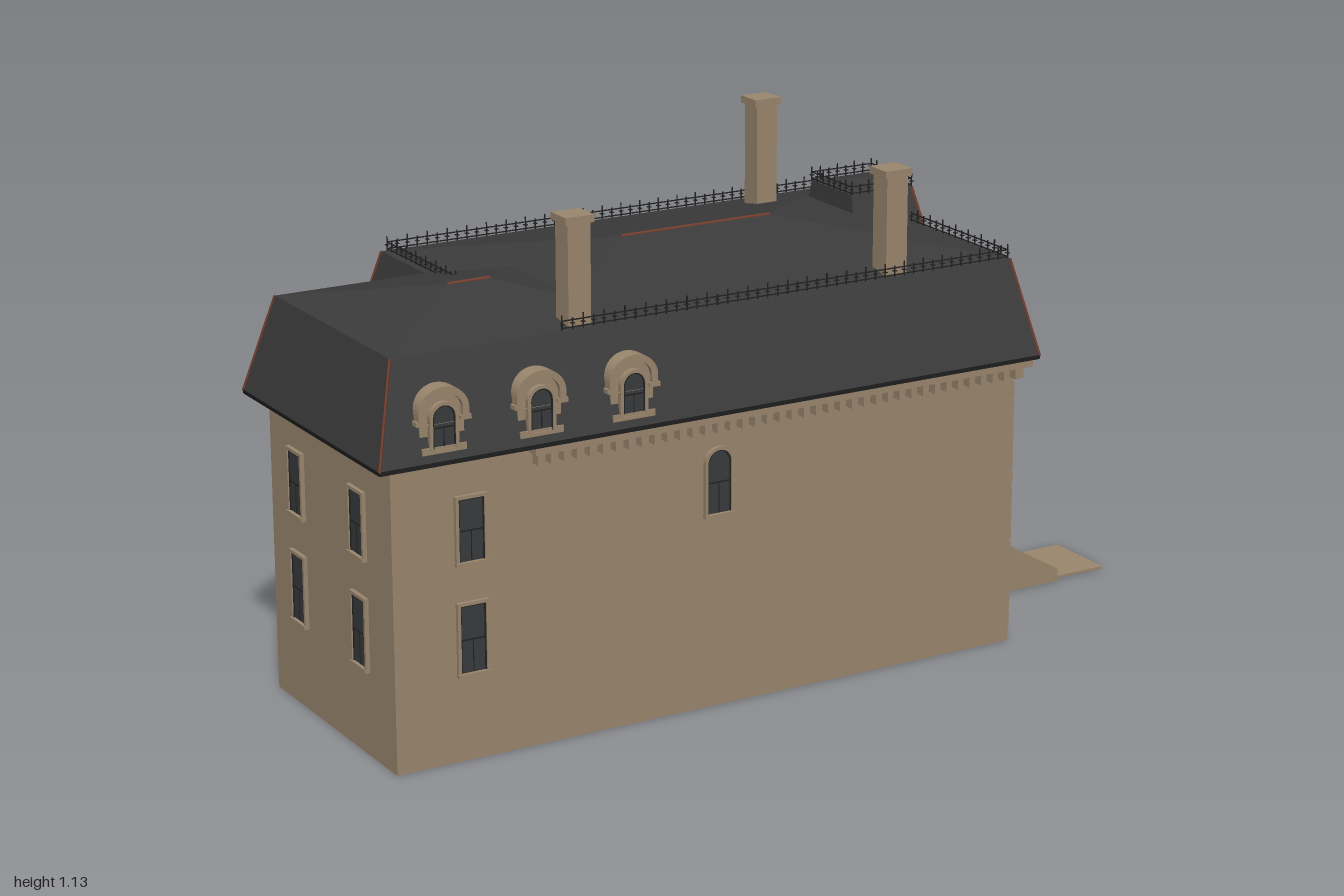
import * as THREE from 'three';
import { mergeGeometries } from 'three/addons/utils/BufferGeometryUtils.js';

const mat = (name, color) => new THREE.MeshStandardMaterial({ name, color, side: THREE.DoubleSide });

export function createModel() {
  const stone = mat('sandstone', 0x9a866d), slate = mat('slate', 0x3b3b3b);
  const glass = mat('dark glass', 0x383a3c), iron = mat('black iron', 0x222222), copper = mat('red copper', 0x743f2e);
  const root = new THREE.Group();
  root.name = 'mansardHouse';

  const add = (name, geo, m, parent = root) => {
    const mesh = new THREE.Mesh(geo, m);
    mesh.name = name;
    parent.add(mesh);
    return mesh;
  };
  // Box from its minimum and maximum corners
  const boxGeo = (x0, x1, y0, y1, z0, z1) =>
    new THREE.BoxGeometry(x1 - x0, y1 - y0, z1 - z0).translate((x0 + x1) / 2, (y0 + y1) / 2, (z0 + z1) / 2);
  const box = (name, m, ...b) => add(name, boxGeo(...b), m);
  const polys = faces => {
    const pos = [];
    for (const f of faces) for (let i = 1; i < f.length - 1; i++) pos.push(...f[0], ...f[i], ...f[i + 1]);
    const g = new THREE.BufferGeometry();
    g.setAttribute('position', new THREE.Float32BufferAttribute(pos, 3));
    g.computeVertexNormals();
    return g;
  };
  // Strip joining two outlines [x, z] at two heights
  const band = (a, ya, b, yb) => polys(a.map((p, i) => {
    const j = (i + 1) % a.length;
    return [[p[0], ya, p[1]], [a[j][0], ya, a[j][1]], [b[j][0], yb, b[j][1]], [b[i][0], yb, b[i][1]]];
  }));
  const rect = (x0, x1, z0, z1) => [[x1, z1], [x1, z0], [x0, z0], [x0, z1]];
  // Hipped roof with a ridge along x
  const hip = (x0, x1, z0, z1, r0, r1, rz, y0, y1) => {
    const a = [x0, y0, z1], b = [x1, y0, z1], c = [x1, y0, z0], d = [x0, y0, z0], e = [r0, y1, rz], f = [r1, y1, rz];
    return polys([[a, b, f, e], [b, c, f], [c, d, e, f], [d, a, e]]);
  };
  const rod = (name, p, q, r, m) => {
    const a = new THREE.Vector3(...p), b = new THREE.Vector3(...q);
    const mesh = add(name, new THREE.CylinderGeometry(r, r, a.distanceTo(b), 6), m);
    mesh.position.copy(a).lerp(b, 0.5);
    mesh.quaternion.setFromUnitVectors(new THREE.Vector3(0, 1, 0), b.sub(a).normalize());
  };

  // Walls, open underneath, with the projecting tower bay
  const walls = [[0.54, 0.39], [0.54, -0.036], [0.6, -0.036], [0.6, -0.267], [0.54, -0.267], [0.54, -0.39],
    [-0.61, -0.39], [-0.61, -0.18], [-0.96, -0.18], [-0.96, 0.39]];
  add('walls', band(walls, 0, walls, 0.655), stone);

  // Mansard and upper hipped roofs
  const eave = [[0.58, 0.428], [0.58, -0.43], [-0.65, -0.43], [-0.65, -0.22], [-1, -0.22], [-1, 0.428]];
  const top = [[0.535, 0.372], [0.535, -0.374], [-0.598, -0.374], [-0.598, -0.165], [-0.945, -0.165], [-0.945, 0.372]];
  add('mansard', band(eave, 0.66, top, 0.87), slate);
  add('mainUpperRoof', hip(-0.598, 0.535, -0.374, 0.372, -0.21, 0.16, -0.005, 0.87, 0.935), slate);
  add('wingUpperRoof', hip(-0.945, -0.35, -0.165, 0.372, -0.68, -0.58, 0.1, 0.87, 0.92), slate);
  eave.forEach((p, i) => rod('hipCap', [p[0], 0.66, p[1]], [top[i][0], 0.87, top[i][1]], 0.003, i === 3 ? slate : copper));
  rod('mainRidge', [-0.21, 0.935, -0.005], [0.16, 0.935, -0.005], 0.004, copper);
  rod('wingRidge', [-0.68, 0.92, 0.1], [-0.58, 0.92, 0.1], 0.004, copper);

  // Soffit around the eaves
  const toShape = pts => new THREE.Shape(pts.map(p => new THREE.Vector2(p[0], p[1])));
  const soffit = toShape(eave);
  soffit.holes.push(toShape(walls.filter((_, i) => i < 1 || i > 4)));
  add('soffit', new THREE.ExtrudeGeometry(soffit, { depth: 0.008, bevelEnabled: false }).rotateX(Math.PI / 2).translate(0, 0.66, 0), stone);
  add('gutter', band(eave, 0.652, eave.map(p => [p[0] * 1.002, p[1] * 1.004]), 0.662), iron);

  // Tower roof
  const towerBase = rect(0.4, 0.635, -0.303, 0), towerTop = rect(0.415, 0.575, -0.234, -0.069);
  add('towerMansard', band(towerBase, 0.66, towerTop, 0.93), slate);
  add('towerCap', hip(0.415, 0.575, -0.234, -0.069, 0.49, 0.5, -0.15, 0.93, 0.945), slate);
  box('towerEave', stone, 0.53, 0.635, 0.65, 0.66, -0.303, 0);
  for (const i of [0, 1])
    rod('towerHipCap', [towerBase[i][0], 0.66, towerBase[i][1]], [towerTop[i][0], 0.93, towerTop[i][1]], 0.0035, copper);

  // Cornice with brackets
  const brackets = [];
  for (let x = -0.635; x < 0.56; x += 0.03) for (const s of [1, -1])
    if (x > -0.6 || s > 0) brackets.push(boxGeo(x - 0.007, x + 0.007, 0.61, 0.637, Math.min(s * 0.39, s * 0.413), Math.max(s * 0.39, s * 0.413)));
  for (let z = -0.39; z < 0.4; z += 0.026)
    if (z < -0.275 || z > -0.03) brackets.push(boxGeo(0.54, 0.562, 0.605, 0.637, z - 0.006, z + 0.006));
  add('brackets', mergeGeometries(brackets), stone);
  box('corniceLeft', stone, -0.65, 0.565, 0.635, 0.654, 0.39, 0.42);
  box('corniceRight', stone, -0.62, 0.565, 0.635, 0.654, -0.42, -0.39);
  box('corniceFacade', stone, 0.54, 0.568, 0.635, 0.654, -0.036, 0.42);
  box('corniceFacadeEnd', stone, 0.54, 0.568, 0.635, 0.654, -0.42, -0.267);

  // Roof cresting: rails, posts and small crossbars
  const cresting = (pts, y, h) => {
    const parts = [];
    for (let i = 0; i < pts.length - 1; i++) {
      const [ax, az] = pts[i], [bx, bz] = pts[i + 1];
      const n = Math.max(2, Math.round(Math.hypot(bx - ax, bz - az) / 0.024)), t = 0.0012;
      for (const k of [0.15, 0.65])
        parts.push(boxGeo(Math.min(ax, bx) - t, Math.max(ax, bx) + t, y + h * k - t, y + h * k + t, Math.min(az, bz) - t, Math.max(az, bz) + t));
      for (let j = 0; j <= n; j++) {
        const x = ax + (bx - ax) * j / n, z = az + (bz - az) * j / n;
        parts.push(boxGeo(x - t, x + t, y, y + h * (j % 2 ? 0.8 : 1.05), z - t, z + t));
        parts.push(boxGeo(x - 0.004, x + 0.004, y + h * 0.4, y + h * 0.46, z - 0.004, z + 0.004));
      }
    }
    add('cresting', mergeGeometries(parts), iron);
  };
  cresting([[-0.56, 0.37], [0.53, 0.37], [0.53, 0]], 0.87, 0.03);
  cresting([[0.53, -0.3], [0.53, -0.372], [-0.585, -0.372], [-0.585, 0]], 0.87, 0.03);
  cresting([...towerTop, towerTop[0]], 0.93, 0.03);

  // Chimneys
  for (const [x, z, h] of [[-0.515, 0.337, 1.1], [0.248, 0.337, 1.1], [0.29, -0.252, 1.135]]) {
    box('chimney', stone, x - 0.026, x + 0.026, 0.85, h - 0.015, z - 0.026, z + 0.026);
    box('chimneyCap', stone, x - 0.033, x + 0.033, h - 0.016, h, z - 0.031, z + 0.031);
  }

  // Arched outline standing on its base; r is the rise of the arch
  const arch = (w, h, r, y0 = 0) => {
    const s = new THREE.Shape();
    s.moveTo(-w / 2, y0).lineTo(w / 2, y0).lineTo(w / 2, h - r);
    if (r > 0) s.absellipse(0, h - r, w / 2, r, 0, Math.PI);
    else s.lineTo(-w / 2, h);
    s.closePath();
    return s;
  };
  const extrude = (s, z0, z1) => new THREE.ExtrudeGeometry(s, { depth: z1 - z0, bevelEnabled: false, curveSegments: 10 }).translate(0, 0, z0);
  const ring = (w, h, r, e, y0 = 0) => {
    const s = arch(w + 2 * e, h + e, r > 0 ? r + e : 0, y0);
    s.holes.push(arch(w, h, r, y0 + (y0 < 0 ? -y0 : 0.0001)));
    return s;
  };
  const at = (name, x, y, z, turn) => {
    const g = new THREE.Group();
    g.name = name;
    g.position.set(x, y, z);
    g.rotation.y = turn;
    root.add(g);
    return g;
  };
  // Pane with dark sash bars
  const sash = (g, w, h, r, z, dx = 0) => {
    add('pane', extrude(arch(w, h, r), -0.004, 0.004).translate(dx, 0, z), glass, g);
    add('sashFrame', extrude(ring(w - 0.006, h - 0.003, r, 0.003, -0.0001), 0.004, 0.006).translate(dx, 0, z), iron, g);
    add('meetingRail', boxGeo(dx - w / 2, dx + w / 2, h * 0.48, h * 0.48 + 0.003, z + 0.004, z + 0.006), iron, g);
    add('sashBar', boxGeo(dx - 0.001, dx + 0.001, 0, h * 0.48, z + 0.004, z + 0.005), iron, g);
  };
  const windowAt = (x, y, z, turn, w, h, r = 0, e = 0.007) => {
    const g = at('window', x, y, z, turn);
    sash(g, w, h, r, 0);
    add('surround', extrude(ring(w, h, r, e), 0, 0.009), stone, g);
    add('sill', boxGeo(-w / 2 - 0.008, w / 2 + 0.008, -0.008, 0, 0, 0.012), stone, g);
  };
  const E = Math.PI / 2, W = -E, N = Math.PI;

  // Facade windows
  for (const z of [0.288, 0.159, 0.045, -0.102, -0.207, -0.327]) {
    const x = z < -0.04 && z > -0.26 ? 0.6 : 0.54;
    windowAt(x, 0.41, z, E, 0.056, 0.127, 0.026, 0.01);
    if (z === 0.045) continue;
    windowAt(x, 0.163, z, E, 0.058, 0.15, 0.027, 0.01);
    windowAt(x, 0.02, z, E, 0.055, 0.044, 0, 0.005);
  }
  // Windows on the other sides
  for (const [y, h] of [[0.192, 0.145], [0.43, 0.133]]) {
    windowAt(-0.785, y, 0.39, 0, 0.058, h);
    for (const x of [0.29, -0.02, -0.33]) windowAt(x, y, -0.39, N, 0.058, h);
    windowAt(-0.61, y, -0.3, W, 0.058, h);
    for (const z of [-0.05, 0.24]) windowAt(-0.96, y, z, W, 0.058, h);
  }
  windowAt(-0.207, 0.43, 0.39, 0, 0.056, 0.138, 0.026);

  // Entrance door with a fanlight
  const door = at('door', 0.54, 0.14, 0.045, E);
  add('doorPanel', boxGeo(-0.04, 0.04, 0, 0.155, -0.003, 0.004), stone, door);
  add('fanlight', extrude(arch(0.08, 0.19, 0.035, 0.155), -0.004, 0.004), glass, door);
  add('doorSurround', extrude(ring(0.08, 0.19, 0.035, 0.01), 0, 0.012), stone, door);
  for (let i = 1; i < 6; i++) {
    const a = Math.PI * i / 6, bar = boxGeo(0, 0.036, -0.001, 0.001, 0.004, 0.007);
    add('fanlightBar', bar.rotateZ(a).translate(0, 0.156, 0), stone, door);
  }

  // Dormers with arched hoods
  const dormer = (x, y, z, turn, w, h, r, panes, pw, ph) => {
    const g = at('dormer', x, y, z, turn);
    add('dormerBody', extrude(arch(w, h, r), -0.055, -0.004), stone, g);
    add('dormerHood', extrude(ring(w - 0.014, h - 0.004, r - 0.004, 0.014, h * 0.45), -0.05, 0.006), stone, g);
    for (const s of [-1, 1]) add('dormerEar', boxGeo(s * w / 2 - 0.012, s * w / 2 + 0.012, h * 0.45, h * 0.53, -0.04, 0.006), stone, g);
    for (const dx of panes) {
      sash(g, pw, ph, pw / 2, 0, dx);
      add('dormerFrame', extrude(ring(pw, ph, pw / 2, 0.007), -0.004, 0.008).translate(dx, 0, 0), stone, g);
    }
    add('dormerSill', boxGeo(-w / 2, w / 2, -0.008, 0.006, -0.05, 0.006), stone, g);
  };
  for (const x of [-0.855, -0.637, -0.425]) dormer(x, 0.685, 0.418, 0, 0.098, 0.118, 0.04, [0], 0.05, 0.09);
  dormer(0.578, 0.68, 0.22, E, 0.145, 0.14, 0.055, [-0.027, 0.027], 0.036, 0.11);
  dormer(0.578, 0.68, 0.053, E, 0.1, 0.137, 0.045, [0], 0.052, 0.105);
  const td = at('towerDormer', 0.622, 0.675, -0.15, E);
  add('towerDormerBody', extrude(arch(0.09, 0.152, 0.042), -0.06, 0), slate, td);
  const tw = at('towerDormerWindow', 0.627, 0.703, -0.15, E);
  sash(tw, 0.042, 0.07, 0, 0);
  add('towerDormerFrame', extrude(ring(0.042, 0.07, 0, 0.008), -0.01, 0.009), stone, tw);
  add('towerDormerSill', boxGeo(-0.033, 0.033, -0.008, 0, -0.02, 0.009), stone, tw);

  // Quoins and string courses on the facade
  const quoins = [];
  for (let i = 0; i < 14; i++) for (const [x, z, s] of [[0.54, 0.39, -1], [0.6, -0.036, -1], [0.6, -0.267, 1], [0.54, -0.39, 1]]) {
    const w = i % 2 ? 0.022 : 0.034, y = 0.03 + i * 0.041;
    quoins.push(boxGeo(x, x + 0.003, y, y + 0.036, Math.min(z, z + s * w), Math.max(z, z + s * w)));
  }
  add('quoins', mergeGeometries(quoins), stone);
  for (const y of [0.135, 0.375]) for (const [x, z0, z1] of [[0.54, 0.1, 0.39], [0.6, -0.267, -0.036], [0.54, -0.39, -0.267]])
    box('stringCourse', stone, x, x + 0.005, y, y + 0.008, z0, z1);

  // Entrance steps, cheek walls and path
  for (let i = 0; i < 9; i++) box('step', stone, 0.54, 0.645 + i * 0.0235, 0.125 - i * 0.0155, 0.14 - i * 0.0155, -0.036, 0.122);
  const cheek = toShape([[0.54, 0], [0.86, 0], [0.86, 0.03], [0.635, 0.16], [0.54, 0.16]]);
  for (const z of [-0.055, 0.12]) add('stairCheek', extrude(cheek, z, z + 0.017), stone);
  box('path', stone, 0.85, 1, 0, 0.006, -0.054, 0.122);
  return root;
}
